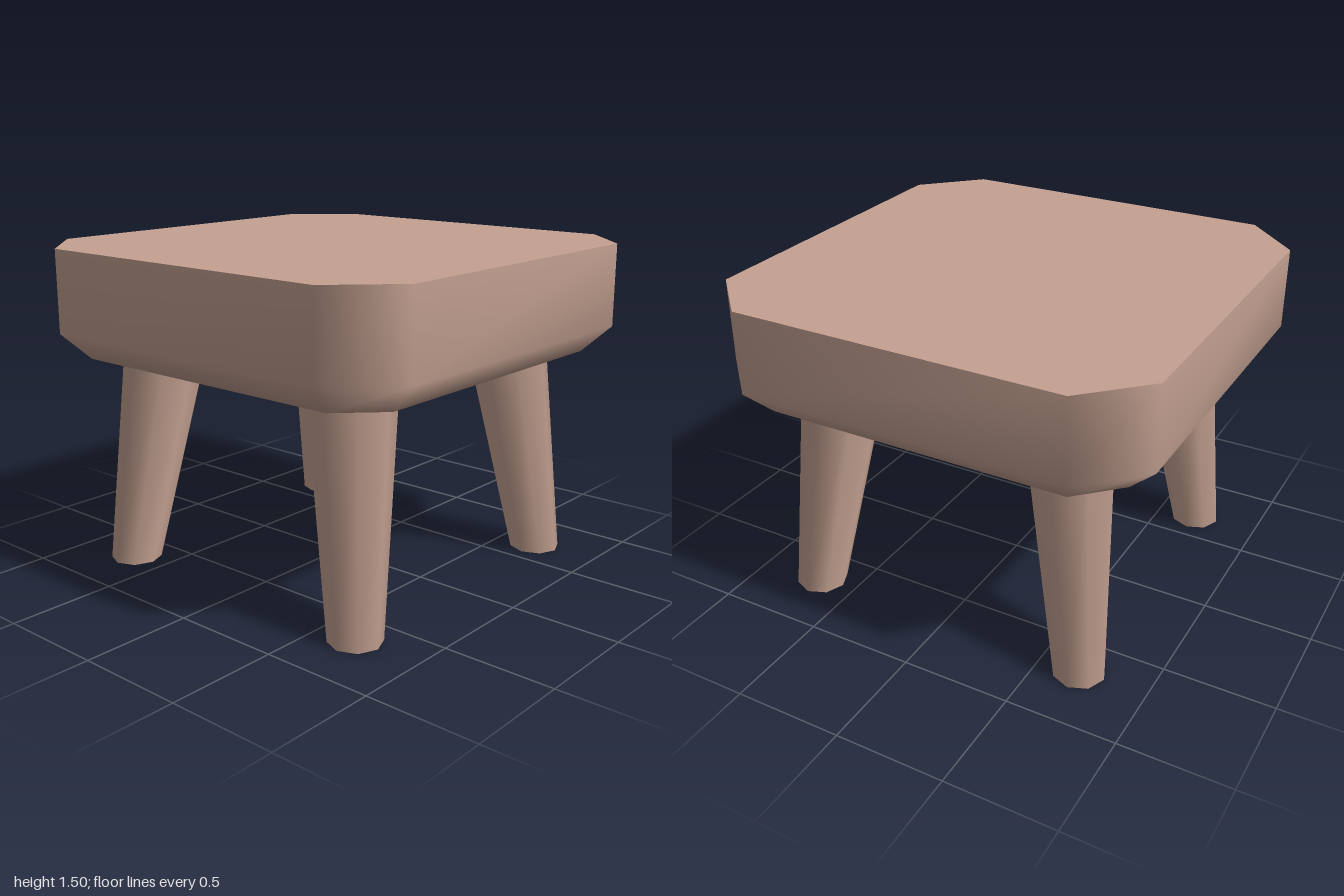
import * as THREE from 'three';

const wood = new THREE.MeshStandardMaterial({ color: 0xc4a191 });
wood.name = 'wood';

// Square of half width h with corners cut by c, as eight points at height y
function cutSquare(h, c, y) {
  const k = h - c;
  return [[h, -k], [h, k], [k, h], [-k, h], [-h, k], [-h, -k], [-k, -h], [k, -h]]
    .map(([x, z]) => [x, y, z]);
}

// Joins rings (listed bottom to top), closing the first and/or last with a flat fan
function loft(rings, capBottom, capTop) {
  const n = rings[0].length, index = [];
  for (let r = 0; r < rings.length - 1; r++) {
    for (let i = 0; i < n; i++) {
      const j = (i + 1) % n;
      const a = r * n + i, b = r * n + j, c = a + n, d = b + n;
      index.push(a, c, b, b, c, d);
    }
  }
  const top = (rings.length - 1) * n;
  for (let i = 1; i < n - 1; i++) {
    if (capBottom) index.push(0, i, i + 1);
    if (capTop) index.push(top, top + i + 1, top + i);
  }
  const g = new THREE.BufferGeometry();
  g.setAttribute('position', new THREE.Float32BufferAttribute(rings.flat(2), 3));
  g.setIndex(index);
  g.computeVertexNormals();
  return g;
}

export function createModel() {
  const model = new THREE.Group();
  model.name = 'stool';
  const add = (geometry, name) => {
    const mesh = new THREE.Mesh(geometry, wood);
    mesh.name = name;
    model.add(mesh);
  };

  // Seat: smooth sides and bevelled underside, with a crisp flat top
  const rim = cutSquare(1, 0.25, 1.5);
  add(loft([cutSquare(0.875, 0.177, 1), cutSquare(1, 0.25, 1.125), rim], true, false), 'seatBody');
  add(loft([rim], false, true), 'seatTop');

  // Four tapered legs, splayed outwards toward the floor
  for (const [sx, sz, name] of [
    [1, 1, 'frontLeftLeg'], [-1, 1, 'frontRightLeg'],
    [1, -1, 'backLeftLeg'], [-1, -1, 'backRightLeg'],
  ]) {
    const leg = new THREE.CylinderGeometry(0.1875, 0.1175, 1, 8);
    leg.translate(0, 0.5, 0);
    const p = leg.attributes.position;
    for (let i = 0; i < p.count; i++) {
      const offset = 0.685 - 0.1225 * p.getY(i);
      p.setX(i, p.getX(i) + sx * offset);
      p.setZ(i, p.getZ(i) + sz * offset);
    }
    add(leg, name);
  }
  return model;
}
